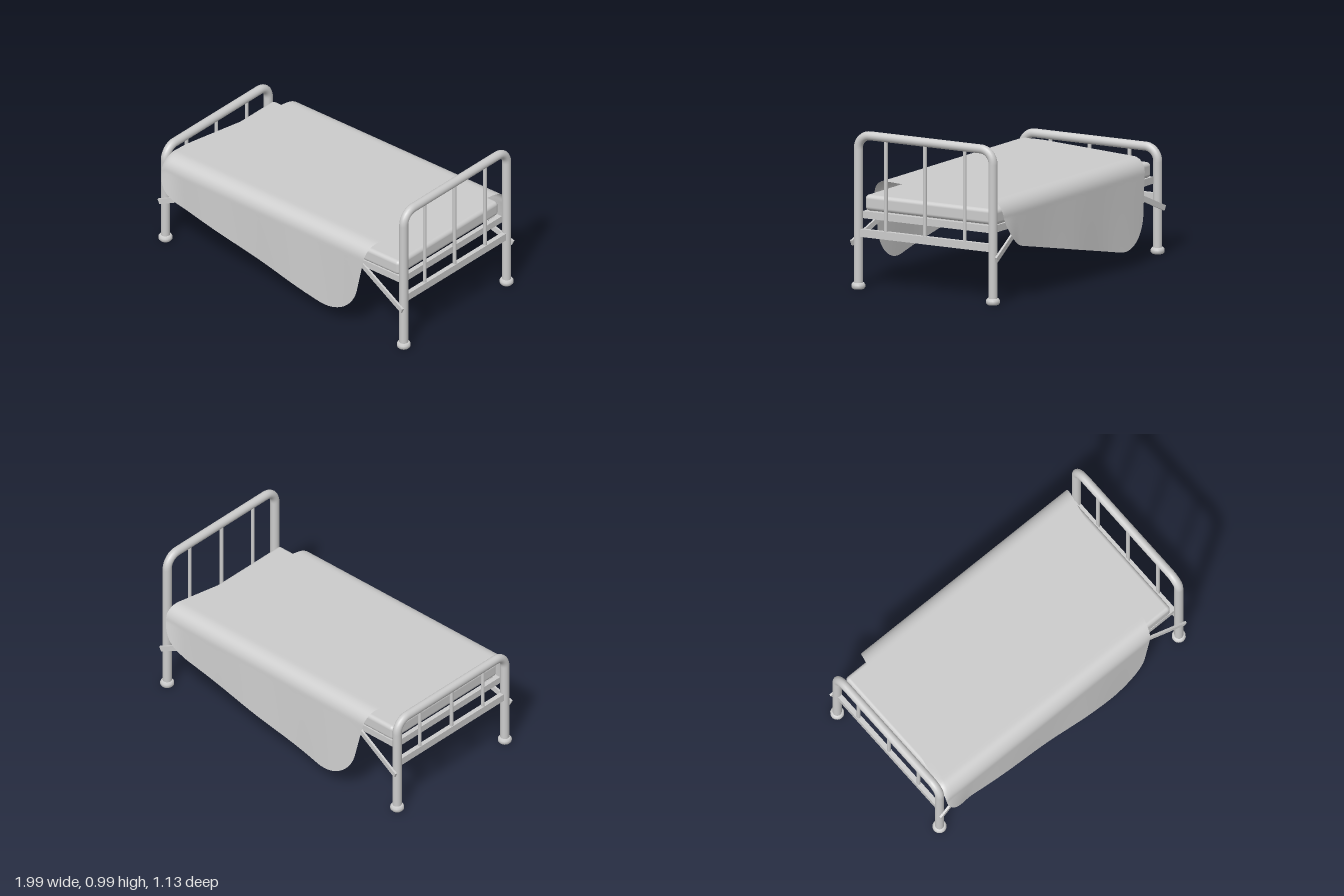
import * as THREE from 'three';
import { RoundedBoxGeometry } from 'three/addons/geometries/RoundedBoxGeometry.js';

const grey = new THREE.MeshStandardMaterial({ color: 0xcccccc });
const cloth = new THREE.MeshStandardMaterial({ color: 0xcccccc, side: THREE.DoubleSide });
const V = (x, y, z) => new THREE.Vector3(x, y, z);
const LEG_X = 0.955, LEG_Z = 0.482, TUBE = 0.028;

function add(parent, name, geometry, x = 0, y = 0, z = 0) {
  const mesh = new THREE.Mesh(geometry, grey);
  mesh.name = name;
  mesh.position.set(x, y, z);
  parent.add(mesh);
  return mesh;
}

// Arched tube with two legs, three spindles, a cross rail and round feet
function bedEnd(name, x, height) {
  const group = new THREE.Group();
  group.name = name;
  group.position.x = x;
  const top = height - TUBE, r = 0.085;
  const path = new THREE.CurvePath();
  const points = [V(0, 0.02, LEG_Z), V(0, top - r, LEG_Z), V(0, top, LEG_Z - r),
    V(0, top, r - LEG_Z), V(0, top - r, -LEG_Z), V(0, 0.02, -LEG_Z)];
  const k = 0.45 * r;
  path.add(new THREE.LineCurve3(points[0], points[1]));
  path.add(new THREE.CubicBezierCurve3(points[1], V(0, top - k, LEG_Z), V(0, top, LEG_Z - k), points[2]));
  path.add(new THREE.LineCurve3(points[2], points[3]));
  path.add(new THREE.CubicBezierCurve3(points[3], V(0, top, k - LEG_Z), V(0, top - k, -LEG_Z), points[4]));
  path.add(new THREE.LineCurve3(points[4], points[5]));
  add(group, 'archTube', new THREE.TubeGeometry(path, 150, TUBE, 16));

  for (const z of [-0.28, 0.005, 0.285]) {
    const length = top - 0.36;
    add(group, 'spindle', new THREE.CylinderGeometry(0.012, 0.012, length, 12), 0, 0.36 + length / 2, z);
  }
  add(group, 'crossRail', new THREE.BoxGeometry(0.03, 0.048, 2 * LEG_Z - 0.03), 0, 0.35, 0);

  const profile = [[0, 0], [0.034, 0], [0.043, 0.011], [0.043, 0.027], [0.034, 0.039], [0, 0.039]]
    .map(([a, b]) => new THREE.Vector2(a, b));
  for (const z of [-LEG_Z, LEG_Z]) add(group, 'foot', new THREE.LatheGeometry(profile, 18), 0, 0, z);
  return group;
}

// Side and end rails, cross slats and diagonal braces
function bedBase() {
  const group = new THREE.Group();
  group.name = 'bedBase';
  for (const s of [-1, 1]) {
    add(group, 'sideRail', new THREE.BoxGeometry(1.86, 0.044, 0.03), 0, 0.457, s * 0.452);
    add(group, 'endRail', new THREE.BoxGeometry(0.03, 0.044, 0.9), s * 0.915, 0.457, 0);
    for (const t of [-1, 1]) {
      const a = V(t * 0.975, 0.283, s * 0.518), b = V(t * 0.6, 0.447, s * 0.465);
      const mid = a.clone().add(b).multiplyScalar(0.5);
      const brace = add(group, 'brace', new THREE.BoxGeometry(0.014, 0.034, a.distanceTo(b)), mid.x, mid.y, mid.z);
      brace.lookAt(b);
    }
  }
  const count = 17;
  for (let i = 0; i < count; i++) {
    const x = -0.83 + (1.66 * i) / (count - 1);
    add(group, 'slat', new THREE.BoxGeometry(0.03, 0.024, 0.9), x, 0.46, 0);
  }
  return group;
}

// Folds a flat distance over a rounded edge: returns [outward, drop]
function fold(d, limit, r) {
  const a = Math.abs(d), start = limit - r;
  if (a <= start) return [d, 0];
  const t = Math.min((a - start) / (2 * r), 1) * Math.PI / 2;
  const extra = Math.max(0, a - limit - r);
  return [Math.sign(d) * (start + r * Math.sin(t)), r * (1 - Math.cos(t)) + extra];
}

// Rounded rectangle of cloth, turned askew and folded over the mattress
function blanket() {
  const L = 0.81, W = 0.965, R = 0.25, angle = 0.2;
  const c = Math.cos(angle), s = Math.sin(angle);
  const geometry = new THREE.PlaneGeometry(2, 2, 70, 120);
  const p = geometry.attributes.position;
  for (let i = 0; i < p.count; i++) {
    const v = -W * Math.sin(p.getY(i) * Math.PI / 2);
    const over = Math.max(0, Math.abs(v) - (W - R));
    const u = p.getX(i) * (L - R + Math.sqrt(Math.max(0, R * R - over * over)));
    const [x, dropX] = fold(-0.02 + u * c - v * s, 0.945, 0.04);
    const [z, dropZ] = fold(u * s + v * c, 0.535, 0.1);
    const hang = Math.max(0, dropZ - 0.1);
    // Hanging sides swing out a little, with soft waves
    const wave = 0.012 * Math.sin(x * 9) * hang;
    const corner = 0.2 * hang * THREE.MathUtils.smoothstep(Math.abs(x), 0.75, 0.95);
    const swing = hang * (z > 0 ? 0.04 : 0.085) + wave + corner;
    p.setXYZ(i, x, 0.632 - dropX - dropZ, z + Math.sign(z) * swing);
  }
  geometry.computeVertexNormals();
  const mesh = new THREE.Mesh(geometry, cloth);
  mesh.name = 'blanket';
  return mesh;
}

export function createModel() {
  const bed = new THREE.Group();
  bed.name = 'bed';
  bed.add(bedEnd('headboard', LEG_X, 0.985));
  bed.add(bedEnd('footboard', -LEG_X, 0.685));
  bed.add(bedBase());
  add(bed, 'mattress', new RoundedBoxGeometry(1.81, 0.098, 0.94, 4, 0.025), 0, 0.527, 0);
  bed.add(blanket());
  return bed;
}
